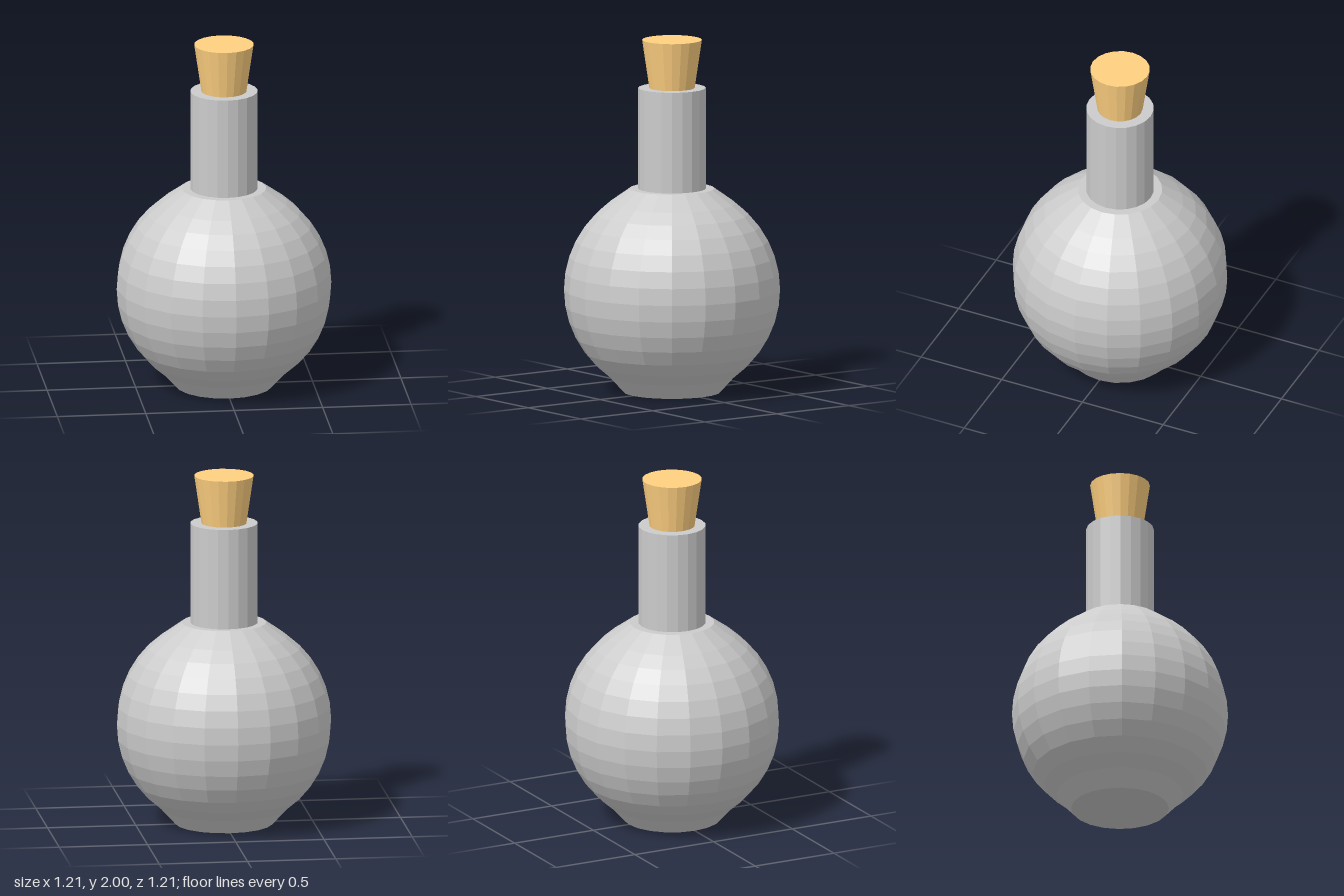
import * as THREE from 'three';

const SIDES = 20;

// Faceted solid of revolution from [radius, height] pairs, bottom to top
function turned(name, profile, color) {
  const points = profile.map(([r, y]) => new THREE.Vector2(r, y));
  const mesh = new THREE.Mesh(
    new THREE.LatheGeometry(points, SIDES),
    new THREE.MeshStandardMaterial({ color, flatShading: true })
  );
  mesh.name = name;
  return mesh;
}

export function createModel() {
  const group = new THREE.Group();
  group.name = 'corkedFlask';

  // Round body: sphere rings every 9 degrees, with a flat base and shoulder
  const radius = 0.607, centreY = 0.58;
  const body = [[0, 0], [0.275, 0]];
  for (let k = -6; k <= 6; k++) {
    const a = THREE.MathUtils.degToRad(9 * k);
    body.push([radius * Math.cos(a), centreY + radius * Math.sin(a)]);
  }
  body.push([0.238, 1.155], [0, 1.155]);
  group.add(turned('body', body, 0xcccccc));

  // Straight neck with a flat rim
  group.add(turned('neck', [[0, 1.15], [0.19, 1.15], [0.19, 1.727], [0, 1.727]], 0xcccccc));

  // Tapered stopper
  group.add(turned('cork', [[0, 1.715], [0.126, 1.715], [0.168, 2], [0, 2]], 0xffd080));

  return group;
}
